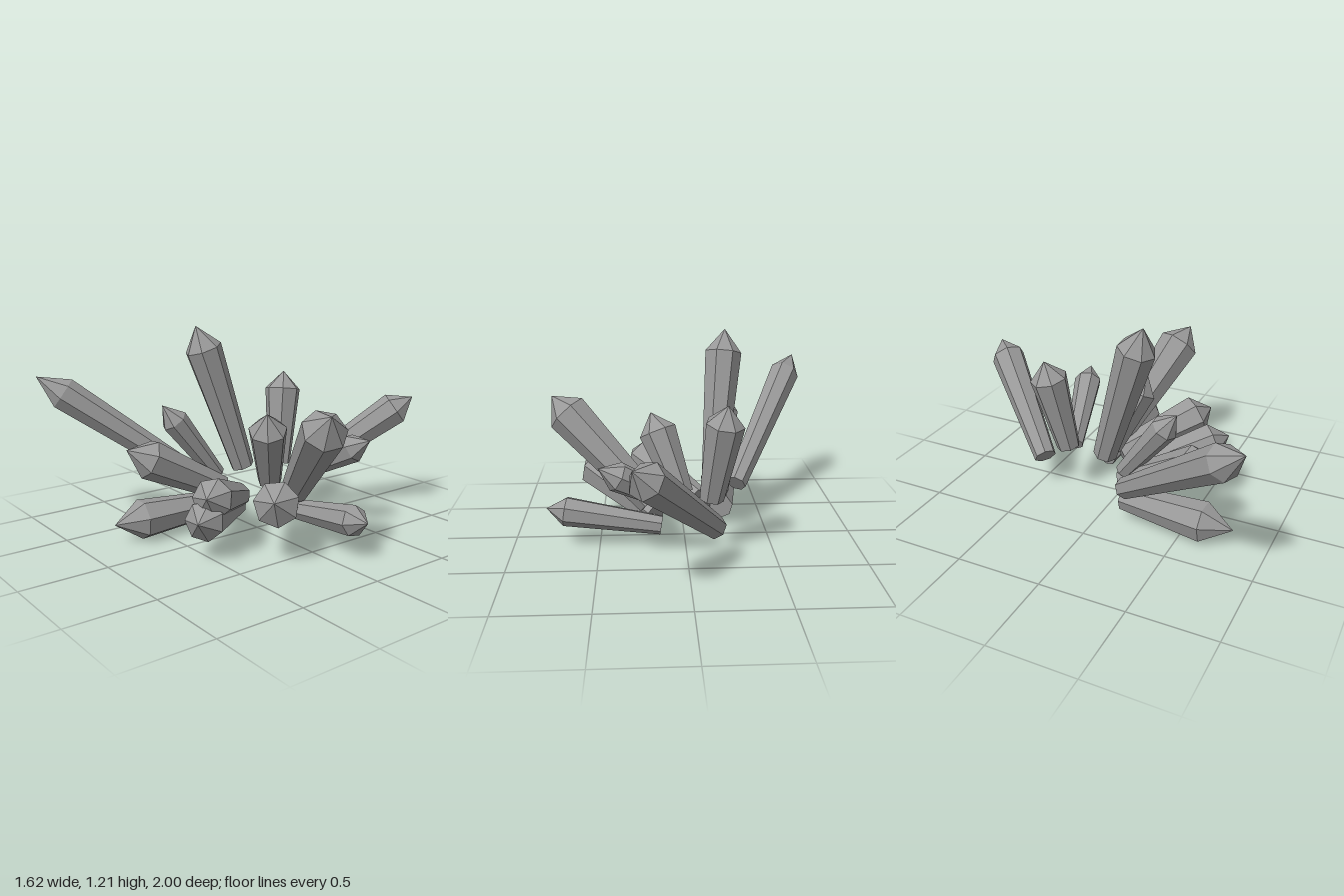
import * as THREE from 'three';

const SIDES = 7;

// base centre, tip, shoulder radius, tip length
const CRYSTALS = [
  [[-0.15, 0.21, -0.44], [0.295, 0.72, -1.0], 0.105, 0.13],
  [[-0.03, 0.27, -0.30], [0.485, 0.56, -0.445], 0.085, 0.12],
  [[-0.14, 0.32, -0.28], [-0.22, 0.88, -0.38], 0.11, 0.11],
  [[0.14, 0.12, -0.16], [0.805, 0.22, -0.12], 0.088, 0.11],
  [[0.20, 0.25, -0.12], [0.775, 0.83, 0.13], 0.127, 0.14],
  [[0.17, 0.16, -0.08], [0.60, 0.375, 0.355], 0.125, 0.11],
  [[0.02, 0.28, -0.08], [0.195, 0.735, 0.08], 0.113, 0.12],
  [[-0.09, 0.19, 0.07], [0.31, 0.365, 0.575], 0.115, 0.11],
  [[-0.11, 0.13, 0.08], [0.315, 0.24, 0.635], 0.112, 0.11],
  [[-0.33, 0.25, 0.18], [-0.80, 0.91, 1.0], 0.098, 0.18],
  [[-0.17, 0.34, -0.02], [-0.255, 1.2, 0.25], 0.11, 0.14],
  [[-0.23, 0.30, 0.13], [-0.29, 0.755, 0.465], 0.08, 0.12],
  [[-0.20, 0.22, 0.12], [-0.285, 0.53, 0.71], 0.118, 0.15],
  [[-0.23, 0.12, 0.13], [-0.268, 0.11, 0.81], 0.118, 0.17],
];

// Faceted shaft that widens from its flat base to a pointed tip
function makeCrystal(base, tip, radius, tipLength, material) {
  const start = new THREE.Vector3(...base);
  const axis = new THREE.Vector3(...tip).sub(start);
  const length = axis.length();
  const profile = [
    new THREE.Vector2(0, 0),
    new THREE.Vector2(radius * 0.64, 0),
    new THREE.Vector2(radius, length - tipLength),
    new THREE.Vector2(0, length),
  ];
  const mesh = new THREE.Mesh(new THREE.LatheGeometry(profile, SIDES), material);
  mesh.position.copy(start);
  mesh.quaternion.setFromUnitVectors(new THREE.Vector3(0, 1, 0), axis.normalize());
  return mesh;
}

export function createModel() {
  const group = new THREE.Group();
  group.name = 'crystalCluster';
  const material = new THREE.MeshStandardMaterial({ color: 0x999999, flatShading: true });
  CRYSTALS.forEach(([base, tip, radius, tipLength], i) => {
    const crystal = makeCrystal(base, tip, radius, tipLength, material);
    crystal.name = `crystal${i + 1}`;
    group.add(crystal);
  });
  return group;
}
